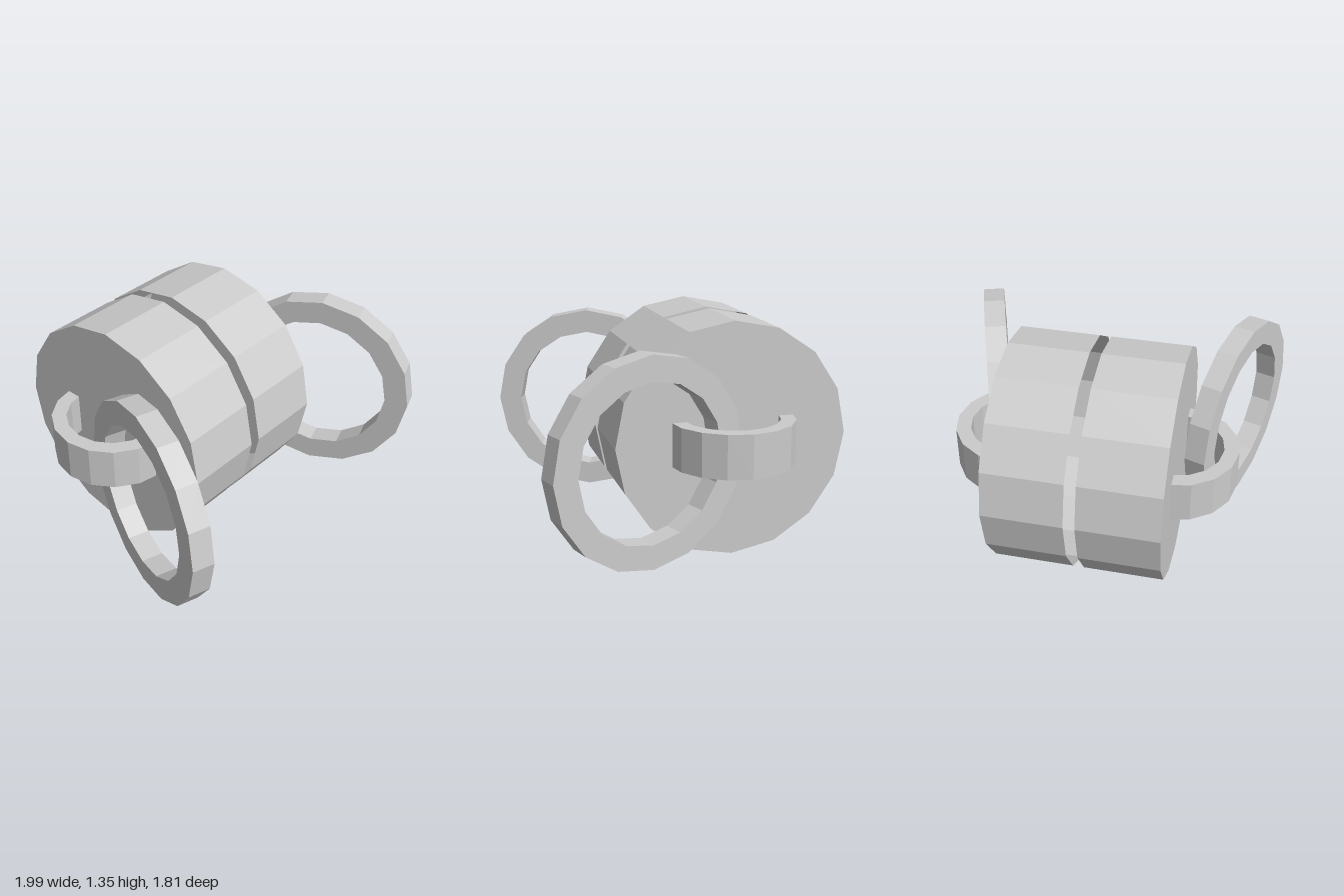
import * as THREE from 'three';

const SIDES = 16;

// Points of a regular polygon arc
function arc(radius, from, to, steps) {
  return Array.from({ length: steps + 1 }, (_, i) => {
    const a = from + ((to - from) * i) / steps;
    return new THREE.Vector2(radius * Math.cos(a), radius * Math.sin(a));
  });
}

export function createModel() {
  const model = new THREE.Group();
  const solid = new THREE.MeshStandardMaterial({ color: 0xcccccc, flatShading: true });
  const shell = new THREE.MeshStandardMaterial({ color: 0xcccccc, flatShading: true, side: THREE.DoubleSide });

  function add(name, geometry, material, parent) {
    const mesh = new THREE.Mesh(geometry, material);
    mesh.name = name;
    parent.add(mesh);
    return mesh;
  }

  // Drum shell lies along x, open towards the middle
  const drumWall = new THREE.CylinderGeometry(0.675, 0.675, 0.46, SIDES, 1, true).rotateZ(Math.PI / 2);
  const drumCap = new THREE.CircleGeometry(0.675, SIDES);

  // Half-ring loop, flat in the xz plane
  const half = Math.PI / 2;
  const loopShape = new THREE.Shape([
    ...arc(0.36, -half, half, SIDES / 2),
    ...arc(0.275, half, -half, SIDES / 2),
  ]);
  const loopGeometry = new THREE.ExtrudeGeometry(loopShape, { depth: 0.25, bevelEnabled: false }).rotateX(-half);

  // Large pull ring, axis along z before it is turned
  const ringShape = new THREE.Shape(arc(0.58, 0, Math.PI * 2, SIDES).slice(0, -1));
  ringShape.holes.push(new THREE.Path(arc(0.44, 0, Math.PI * 2, SIDES).slice(0, -1)));
  const ringGeometry = new THREE.ExtrudeGeometry(ringShape, { depth: 0.124, bevelEnabled: false }).translate(0, 0, -0.062);

  for (const s of [1, -1]) {
    const side = s > 0 ? 'left' : 'right';

    const drum = new THREE.Group();
    drum.name = side + 'Drum';
    drum.position.set(0, 0.675, -0.235);
    model.add(drum);
    add(side + 'DrumWall', drumWall, shell, drum).position.x = s * 0.262;
    const cap = add(side + 'DrumCap', drumCap, shell, drum);
    cap.position.x = s * 0.492;
    cap.rotation.y = s * half;

    const loop = add(side + 'Loop', loopGeometry, solid, model);
    loop.position.set(s * 0.462, 0.55, -0.235);
    loop.rotation.y = s > 0 ? 0 : Math.PI;

    // Ring hangs through the loop and splays outward to the front
    const ring = add(side + 'PullRing', ringGeometry, solid, model);
    ring.position.set(s * 0.753, 0.675, 0.331);
    ring.rotation.y = s * THREE.MathUtils.degToRad(108.4);
  }
  return model;
}
